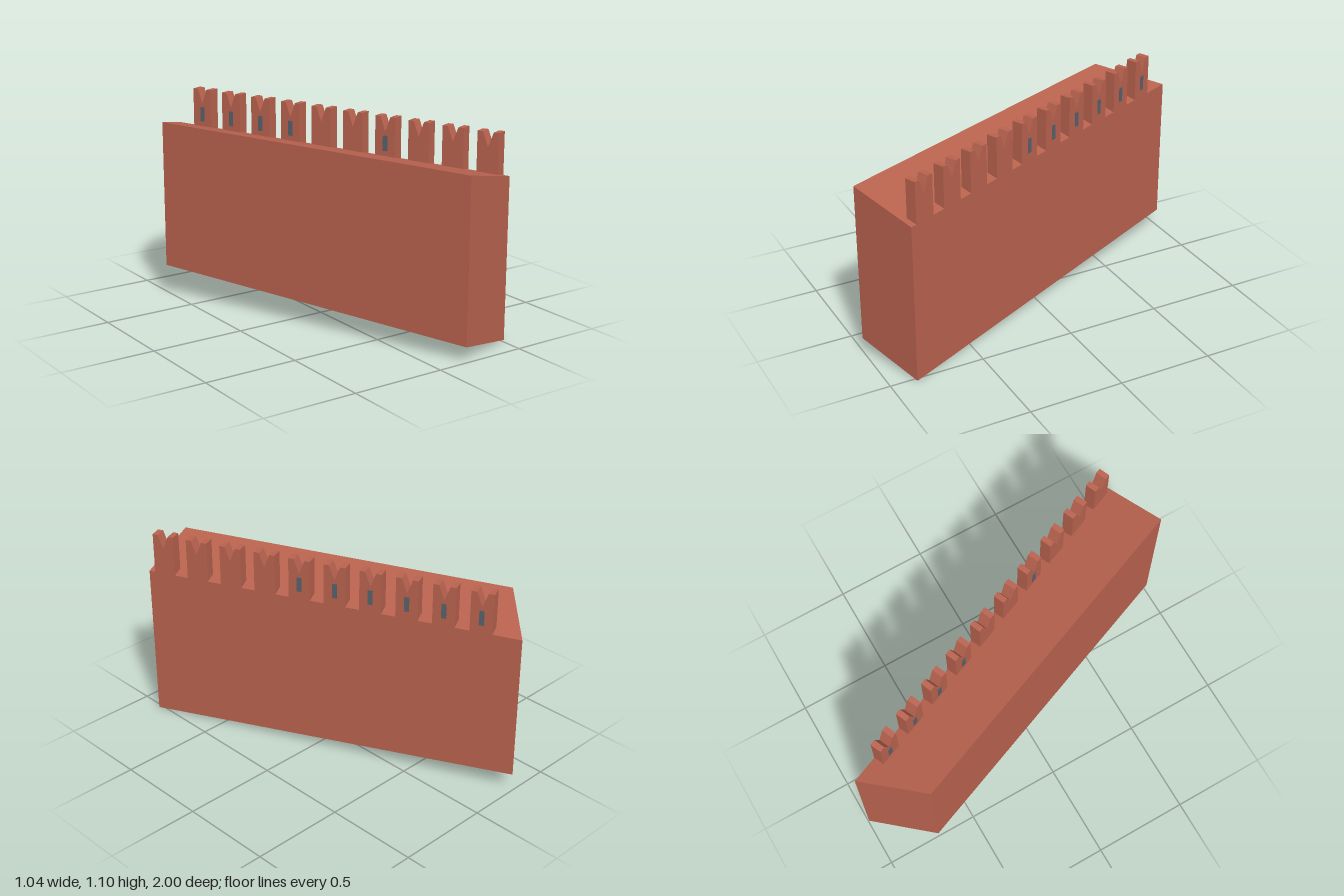
import * as THREE from 'three';

export function createModel() {
  const model = new THREE.Group();
  model.name = 'battlementWall';
  const brick = new THREE.MeshStandardMaterial({ color: 0xb8624e });
  brick.name = 'red brick';
  const slitGrey = new THREE.MeshStandardMaterial({ color: 0x56606a });
  slitGrey.name = 'slit grey';

  // Plan corners with bottom and top heights: [x, z, yBottom, yTop]
  const corners = [
    [-0.525, -0.72, 0.17, 0.965],
    [0.16, 1.0, 0.08, 0.932],
    [0.52, 0.865, 0.0, 0.85],
    [-0.265, -1.0, 0.1, 0.885],
  ];
  const low = corners.map(([x, z, b]) => [x, b, z]);
  const high = corners.map(([x, z, , t]) => [x, t, z]);
  const points = [];
  const quad = (a, b, c, d) => points.push(...a, ...b, ...c, ...a, ...c, ...d);
  for (let i = 0; i < 4; i++) {
    const j = (i + 1) % 4;
    quad(low[i], low[j], high[j], high[i]);
  }
  quad(high[0], high[1], high[2], high[3]);
  quad(low[3], low[2], low[1], low[0]);
  const bodyGeo = new THREE.BufferGeometry();
  bodyGeo.setAttribute('position', new THREE.Float32BufferAttribute(points, 3));
  bodyGeo.computeVertexNormals();
  const body = new THREE.Mesh(bodyGeo, brick);
  body.name = 'wallBody';
  model.add(body);

  // Battlement frame: x runs along the outer wall edge, z points inward
  const start = corners[3], end = corners[2];
  const dx = end[0] - start[0], dz = end[1] - start[1];
  const length = Math.hypot(dx, dz);
  const battlement = new THREE.Group();
  battlement.name = 'battlement';
  battlement.position.set(start[0], 0, start[1]);
  battlement.rotation.y = -Math.atan2(dz, dx);
  model.add(battlement);

  const width = 0.117, depth = 0.06, pitch = 0.1915;
  const edgeY = s => start[3] + (end[3] - start[3]) * s / length;

  // Swallow-tail merlons, with a V cut into each top
  for (let i = 0; i < 10; i++) {
    const s = 0.149 + i * pitch, mid = s + width / 2;
    const top = 1.1 - 0.0033 * i;
    const shape = new THREE.Shape([
      [s, edgeY(s)], [s + width, edgeY(s + width)], [s + width, top],
      [mid + 0.029, top], [mid, top - 0.077], [mid - 0.029, top], [s, top],
    ].map(p => new THREE.Vector2(...p)));
    const merlon = new THREE.Mesh(
      new THREE.ExtrudeGeometry(shape, { depth, bevelEnabled: false }), brick);
    merlon.name = 'merlon' + (i + 1);
    battlement.add(merlon);

    // Narrow slit plates on the outer and inner faces
    const addSlit = (name, z) => {
      const slit = new THREE.Mesh(new THREE.BoxGeometry(0.026, 0.08, 0.004), slitGrey);
      slit.name = name + (i + 1);
      slit.position.set(mid, top - 0.138, z);
      battlement.add(slit);
    };
    if (i < 6) addSlit('outerSlit', 0);
    if (i < 4 || i === 6) addSlit('innerSlit', depth);
  }
  return model;
}
